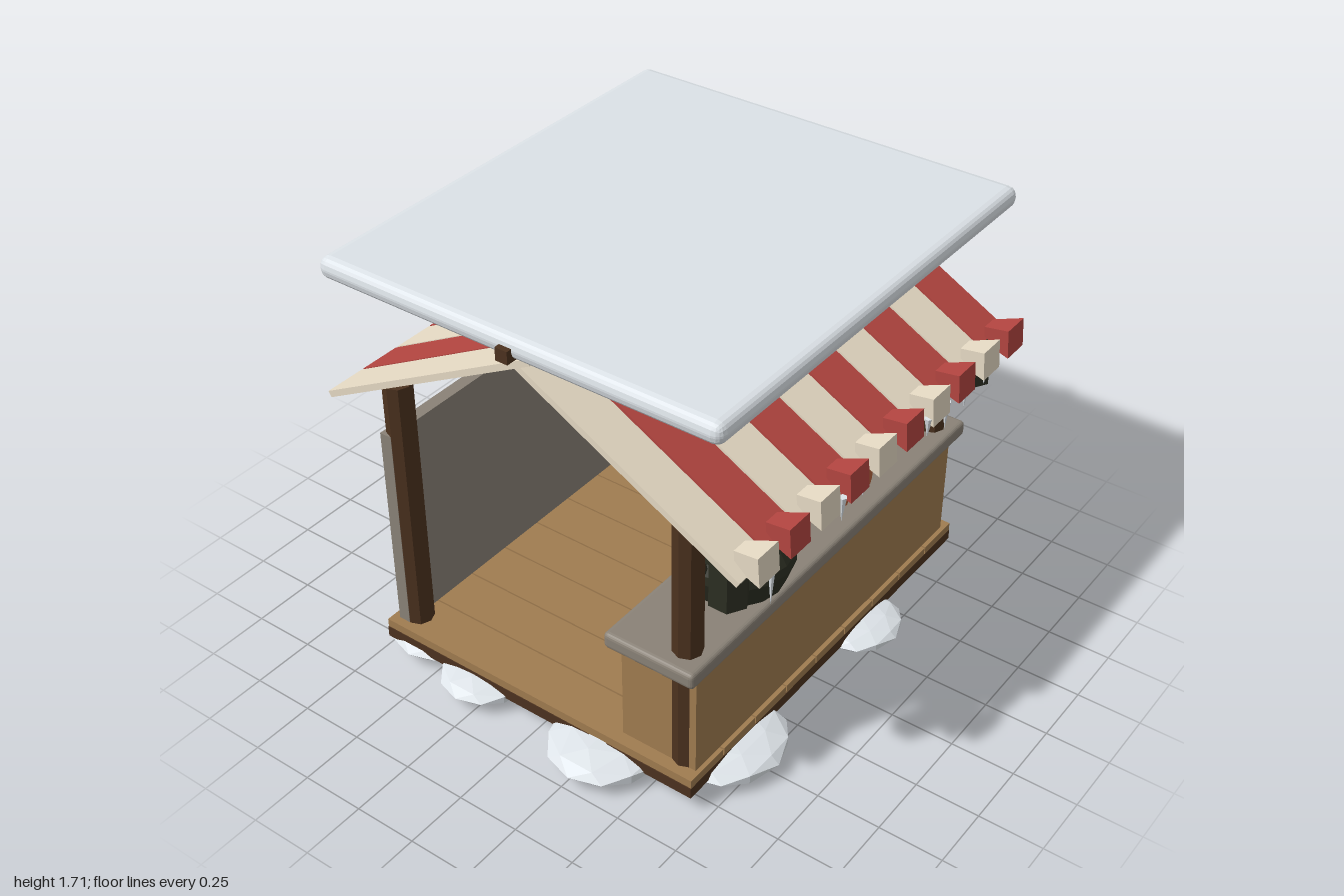
import * as THREE from 'three';
import { RoundedBoxGeometry } from 'three/addons/geometries/RoundedBoxGeometry.js';

const mat = (name, color, double = false) => {
  const m = new THREE.MeshStandardMaterial({ color, flatShading: true });
  m.name = name;
  if (double) m.side = THREE.DoubleSide;
  return m;
};

export function createModel() {
  const root = new THREE.Group();
  root.name = 'marketStall';
  const snow = mat('snow', 0xdde3e8);
  const cream = mat('creamCloth', 0xe6dac4);
  const red = mat('redCloth', 0xb34540);
  const darkWood = mat('darkWood', 0x4c321f);
  const tanWood = mat('tanWood', 0xa07c50);
  const stone = mat('stone', 0x8a8277);
  const iron = mat('iron', 0x2c2e22, true);
  const clay = mat('clay', 0xb4643c);

  const add = (name, geo, material, x, y, z, parent = root) => {
    const m = new THREE.Mesh(geo, material);
    m.name = name;
    m.position.set(x, y, z);
    parent.add(m);
    return m;
  };
  const box = (name, w, h, d, material, x, y, z) =>
    add(name, new THREE.BoxGeometry(w, h, d), material, x, y, z);

  const CX = 0.057, CZ = -0.02;

  // Floor: dark frame with planks running front to back
  box('floorFrame', 1.77, 0.045, 1.414, darkWood, CX, 0.093, CZ);
  for (let i = 0; i < 9; i++)
    box('floorPlank', 0.19, 0.035, 1.414, tanWood, CX + (i - 4) * 0.1967, 0.133, CZ);

  // Corner posts and back wall
  for (const sx of [-1, 1])
    for (const sz of [-1, 1])
      add('post', new THREE.CylinderGeometry(0.055, 0.055, 1.07, 8), darkWood,
        0.06 + sx * 0.795, 0.685, CZ + sz * 0.625);
  box('backWall', 1.7, 0.86, 0.05, stone, 0.06, 0.58, -0.673);

  // Counter
  box('counterBody', 1.67, 0.44, 0.315, tanWood, 0.06, 0.37, 0.512);
  add('counterTop', new RoundedBoxGeometry(1.8, 0.066, 0.375, 2, 0.018), stone, 0.06, 0.618, 0.512);

  // Striped cloth roof, crossing at the ridge
  const slope = Math.atan2(0.51, 0.945);
  for (let i = 0; i < 10; i++) {
    const x = CX + (i - 4.5) * 0.1767;
    const cloth = i % 2 ? red : cream;
    for (const s of [1, -1]) {
      const panel = box('roofStripe', 0.168, 0.025, 1.065, cloth, x, 1.365, CZ + s * 0.408);
      panel.rotation.x = s * slope;
    }
    // Flared tab at the front edge
    const tab = new THREE.CylinderGeometry(0.08, 0.045, 0.11, 4).rotateY(Math.PI / 4).rotateX(Math.PI / 2);
    add('awningTab', tab, cloth, x, 1.165, 0.86).rotation.x = -0.08;
  }
  box('ridgeBeam', 1.88, 0.05, 0.05, darkWood, 0.06, 1.65, CZ);
  add('roofSnow', new RoundedBoxGeometry(1.832, 0.084, 1.655, 2, 0.038), snow, CX, 1.667, CZ);

  // Icicles: x and length
  for (const [x, len] of [[-0.69, 0.18], [-0.28, 0.1], [-0.15, 0.08], [0.27, 0.08],
    [0.395, 0.12], [0.53, 0.1], [0.67, 0.08]]) {
    add('icicle', new THREE.ConeGeometry(0.016, len, 6).rotateX(Math.PI), snow, x, 1.14 - len / 2, 0.895);
  }

  // Lanterns hanging beside the front posts
  for (const x of [-0.725, 0.845]) {
    const lantern = new THREE.Group();
    lantern.name = 'lantern';
    lantern.position.set(x, 0, 0.757);
    root.add(lantern);
    add('lanternBody', new THREE.CylinderGeometry(0.072, 0.072, 0.185, 6), iron, 0, 1.03, 0, lantern);
    add('lanternCap', new THREE.CylinderGeometry(0.085, 0.085, 0.03, 6), iron, 0, 1.132, 0, lantern);
  }

  // Cauldron with handle and steam
  const cauldron = new THREE.Group();
  cauldron.name = 'cauldron';
  cauldron.position.set(-0.335, 0, 0.512);
  root.add(cauldron);
  const profile = [[0, 0.652], [0.17, 0.655], [0.185, 0.67], [0.218, 0.765], [0.215, 0.8],
    [0.17, 0.875], [0.192, 0.905], [0.192, 0.918], [0.165, 0.918], [0.15, 0.88], [0, 0.88]]
    .map(([r, y]) => new THREE.Vector2(r, y));
  add('cauldronPot', new THREE.LatheGeometry(profile, 16), iron, 0, 0, 0, cauldron);
  const arc = Math.PI * 1.35;
  const handle = add('cauldronHandle', new THREE.TorusGeometry(0.218, 0.018, 6, 20, arc), iron, 0, 0.9, 0.008, cauldron);
  handle.rotation.z = (Math.PI - arc) / 2;
  for (const [x, y, z, r] of [[0.01, 0.985, -0.027, 0.075], [0.005, 1.115, -0.012, 0.06], [0, 1.225, 0, 0.046]])
    add('steamPuff', new THREE.IcosahedronGeometry(r, 1).scale(1, 1.25, 0.85), snow, x, y, z, cauldron);

  // Mugs
  for (let i = 0; i < 4; i++)
    add('mug', new THREE.CylinderGeometry(0.054, 0.05, 0.11, 8), clay, 0.237 + i * 0.16, 0.705, 0.565);

  // Snow drifts round the base: x, z, radius
  for (const [x, z, r] of [[0.04, -0.75, 0.18], [-0.65, -0.6, 0.21], [-0.735, -0.3, 0.2],
    [-0.75, 0.28, 0.25], [-0.25, 0.28, 0.27], [-0.51, 0.62, 0.24], [0.305, 0.66, 0.18]])
    add('snowDrift', new THREE.IcosahedronGeometry(r, 1).scale(1, 0.23, 0.92), snow, x, 0.065, z);

  return root;
}
